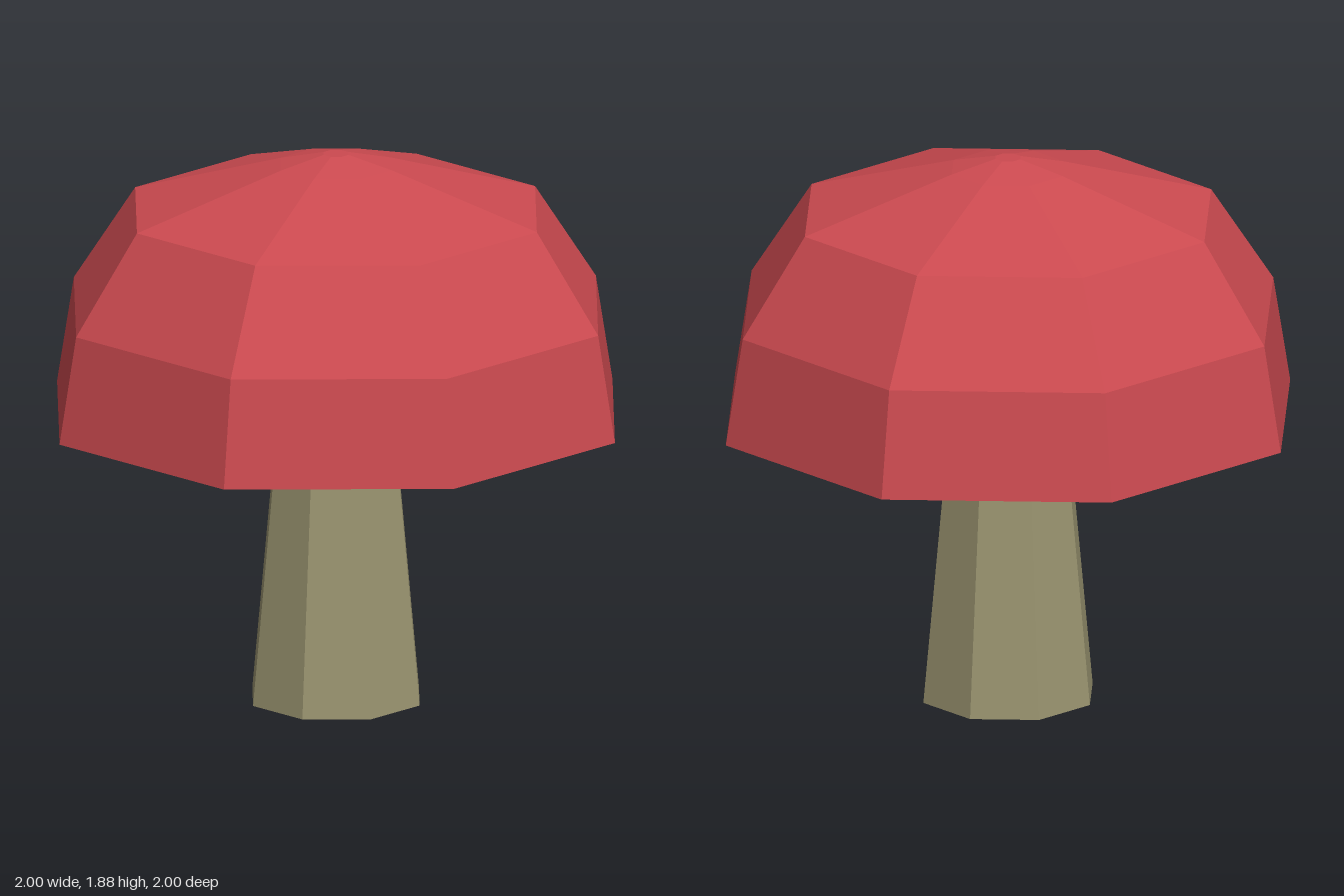
import * as THREE from 'three';

// Revolve a profile of [radius, height] points into a faceted eight-sided solid
function octagonal(name, profile, color) {
  const points = profile.map(([r, y]) => new THREE.Vector2(r, y));
  const mesh = new THREE.Mesh(
    new THREE.LatheGeometry(points, 8),
    new THREE.MeshStandardMaterial({ color, flatShading: true })
  );
  mesh.name = name;
  return mesh;
}

export function createModel() {
  const group = new THREE.Group();
  group.name = 'mushroom';

  // Stem: tapers gently, then narrows more where it enters the cap
  group.add(octagonal('stem', [
    [0, 0], [0.3, 0], [0.21, 0.95], [0.15, 1.31], [0, 1.31],
  ], 0x9a9470));

  // Cap: hollow underside from the centre out to the rim, then the outer dome
  group.add(octagonal('cap', [
    [0, 1.3], [0.457, 1.24], [0.74, 1.13], [0.9, 0.97],
    [1, 0.985], [0.94, 1.35], [0.72, 1.685], [0.2, 1.843], [0.045, 1.88], [0, 1.88],
  ], 0xcc4a50));

  return group;
}
